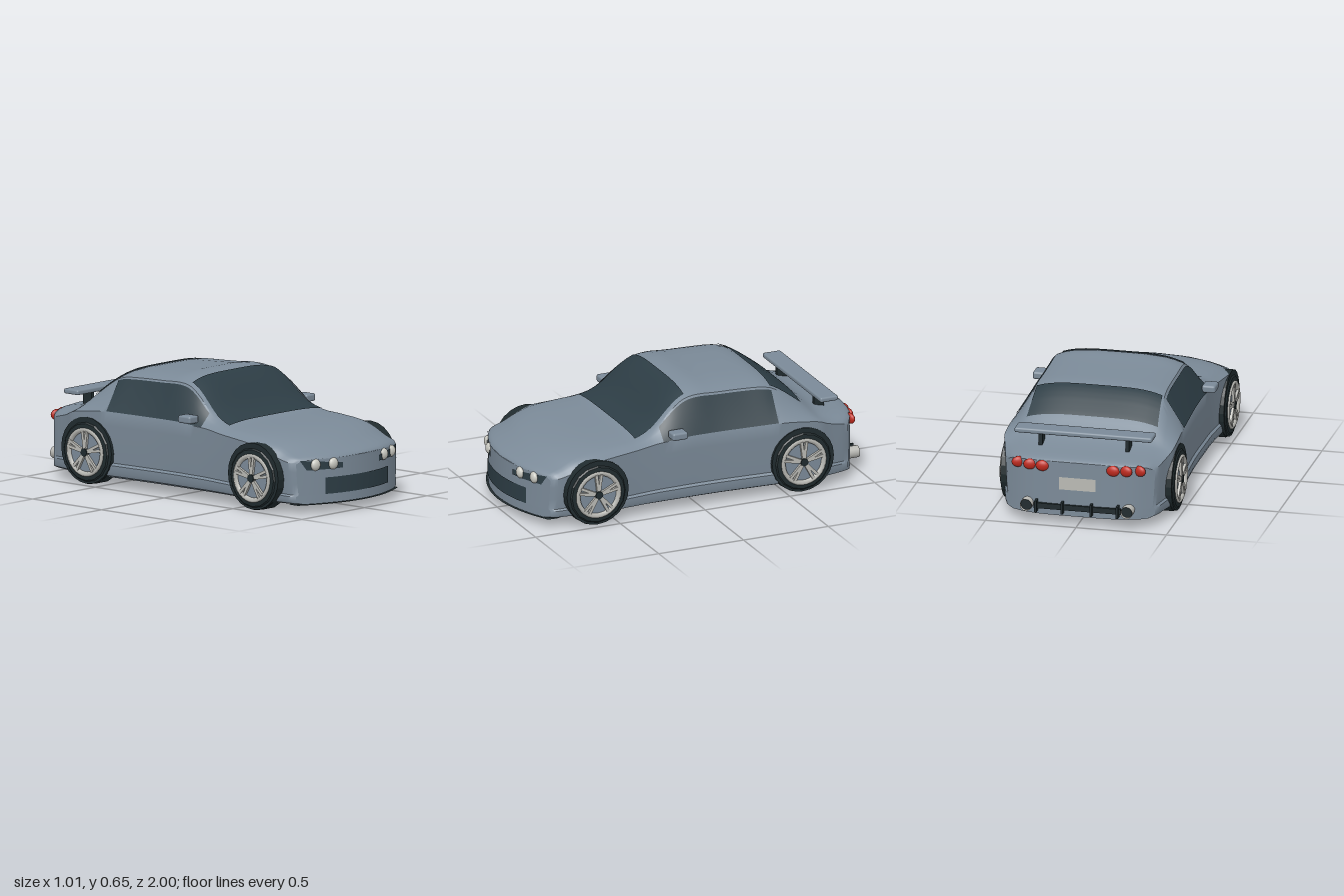
import * as THREE from 'three';
import { toCreasedNormals } from 'three/addons/utils/BufferGeometryUtils.js';
import { RoundedBoxGeometry } from 'three/addons/geometries/RoundedBoxGeometry.js';

const { lerp, smoothstep, clamp } = THREE.MathUtils;

// Body stations from nose to tail: z, half width, shoulder y, roof half width, roof edge y, top y
const STATIONS = [
  [0.985, 0.40, 0.27, 0.38, 0.285, 0.295],
  [0.965, 0.425, 0.28, 0.40, 0.30, 0.312],
  [0.88, 0.435, 0.30, 0.40, 0.325, 0.342],
  [0.78, 0.45, 0.33, 0.40, 0.355, 0.378],
  [0.62, 0.468, 0.36, 0.40, 0.385, 0.405],
  [0.45, 0.455, 0.375, 0.40, 0.40, 0.418],
  [0.35, 0.448, 0.385, 0.39, 0.41, 0.43],
  [0.25, 0.445, 0.40, 0.375, 0.45, 0.478],
  [0.14, 0.445, 0.405, 0.36, 0.545, 0.58],
  [0.06, 0.445, 0.41, 0.35, 0.595, 0.635],
  [-0.02, 0.445, 0.41, 0.35, 0.61, 0.655],
  [-0.13, 0.447, 0.41, 0.35, 0.605, 0.645],
  [-0.29, 0.455, 0.41, 0.35, 0.60, 0.635],
  [-0.42, 0.462, 0.41, 0.355, 0.59, 0.625],
  [-0.50, 0.466, 0.41, 0.36, 0.555, 0.59],
  [-0.61, 0.47, 0.40, 0.37, 0.475, 0.51],
  [-0.71, 0.468, 0.385, 0.385, 0.40, 0.43],
  [-0.80, 0.455, 0.365, 0.385, 0.375, 0.395],
  [-0.93, 0.43, 0.34, 0.385, 0.355, 0.372],
  [-0.965, 0.41, 0.32, 0.37, 0.34, 0.355],
];
const FLOOR = 0.05, NOSE = 0.985, TAIL = -0.965;

// Smooth the stations with a Catmull-Rom curve
const STEPS = 3;
const sections = [];
for (let i = 0; i < STATIONS.length - 1; i++) {
  const [p, q, r, s] = [-1, 0, 1, 2].map(k => STATIONS[clamp(i + k, 0, STATIONS.length - 1)]);
  for (let k = 0; k < STEPS; k++) {
    const t = k / STEPS;
    sections.push(q.map((v, c) => v + 0.5 * t * (r[c] - p[c] + t * (2 * p[c] - 5 * v + 4 * r[c] - s[c] + t * (3 * (v - r[c]) + s[c] - p[c])))));
  }
}
sections.push(STATIONS[STATIONS.length - 1]);

function sectionAt(z) {
  let i = 0;
  while (i < sections.length - 2 && sections[i + 1][0] > z) i++;
  const a = sections[i], b = sections[i + 1];
  const t = clamp((a[0] - z) / (a[0] - b[0]), 0, 1);
  return a.map((v, c) => lerp(v, b[c], t));
}

// Bow the nose and tail in plan
function bow(x, z) {
  return z - 0.13 * (x / 0.42) ** 2 * smoothstep(z, 0.55, NOSE)
    + 0.1 * (x / 0.43) ** 4 * (1 - smoothstep(z, TAIL, -0.65));
}
const roofY = ([, , , rw, re, top], x) => top - (top - re) * (Math.abs(x) / rw) ** 4;

// Half outline of a section, floor centre to roof centre
function halfOutline(sec) {
  const [, w, s, rw, re] = sec;
  const side = f => lerp(FLOOR, s, f);
  return [
    [0, FLOOR], [w * 0.5, FLOOR], [w - 0.04, FLOOR], [w - 0.008, side(0.04)],
    [w, side(0.1)], [w, side(0.2)], [w - 0.012, side(0.235)], [w - 0.006, side(0.5)],
    [w - 0.002, side(0.8)], [w, s],
    [lerp(w, rw, 0.33), lerp(s, re, 0.33)], [lerp(w, rw, 0.67), lerp(s, re, 0.67)],
    ...[1, 0.94, 0.85, 0.7, 0.4, 0].map(f => [rw * f, roofY(sec, rw * f)]),
  ];
}

// Surface from a rule fn(u, v) with u and v in 0..1
function surface(nu, nv, fn) {
  const pos = [], index = [];
  for (let i = 0; i <= nu; i++) for (let j = 0; j <= nv; j++) pos.push(...fn(i / nu, j / nv));
  for (let i = 0; i < nu; i++) for (let j = 0; j < nv; j++) {
    const a = i * (nv + 1) + j, b = a + nv + 1;
    index.push(a, b, b + 1, a, b + 1, a + 1);
  }
  const g = new THREE.BufferGeometry();
  g.setAttribute('position', new THREE.Float32BufferAttribute(pos, 3));
  g.setIndex(index);
  g.computeVertexNormals();
  return g;
}

export function createModel() {
  const car = new THREE.Group();
  car.name = 'sportsCoupe';
  const material = (name, color) => new THREE.MeshStandardMaterial({ name, color });
  const paint = material('slatePaint', 0x7b8a98);
  const glass = material('darkGlass', 0x2d3d45);
  const rubber = material('blackRubber', 0x202b2e);
  const alloy = material('lightAlloy', 0xb9b9b4);
  const lamp = material('lampWhite', 0xccccc4);
  const red = material('tailRed', 0xbf2a1e);
  glass.side = rubber.side = alloy.side = THREE.DoubleSide;
  rubber.flatShading = true;

  const add = (name, geo, mat, x = 0, y = 0, z = 0, parent = car) => {
    const m = new THREE.Mesh(geo, mat);
    m.name = name;
    m.position.set(x, y, z);
    parent.add(m);
    return m;
  };

  // Body shell with bowed end caps
  const rings = sections.map(sec => {
    const half = halfOutline(sec);
    return [...half, ...half.slice(0, -1).reverse().map(([x, y]) => [-x, y])];
  });
  const nu = rings.length - 1, nv = rings[0].length - 1;
  const shell = surface(nu, nv, (u, v) => {
    const i = Math.round(u * nu), [x, y] = rings[i][Math.round(v * nv)];
    return [x, y, bow(x, sections[i][0])];
  });
  add('bodyShell', toCreasedNormals(shell, 0.6), paint);
  for (const [name, sec, dir] of [['noseCap', sections[0], 1], ['tailCap', sections[nu], -1]]) {
    const rows = halfOutline(sec).slice(2), n = rows.length - 1;
    add(name, surface(16, n, (u, v) => {
      const [w, y] = rows[Math.round(v * n)], x = dir * (2 * u - 1) * w;
      return [x, y, bow(x, sec[0])];
    }), paint);
  }

  // Windscreen and rear window follow the roof
  const roofGlass = (name, z0, z1, inset) => add(name, surface(20, 16, (u, v) => {
    const z = lerp(z0, z1, v), sec = sectionAt(z), x = (2 * u - 1) * (sec[3] - inset);
    return [x, roofY(sec, x) + 0.007, z];
  }), glass);
  roofGlass('windscreen', 0.355, 0.05, 0.022);
  roofGlass('rearWindow', -0.45, -0.625, 0.01);

  // Plate on the nose or tail from four corners, bottom first
  const endPlate = (name, [a, b, c, d], mat, zEnd) => add(name, surface(10, 2, (u, v) => {
    const x = lerp(lerp(a[0], b[0], u), lerp(d[0], c[0], u), v);
    const y = lerp(lerp(a[1], b[1], u), lerp(d[1], c[1], u), v);
    return [x, y, bow(x, zEnd) + Math.sign(zEnd) * 0.005];
  }), mat);
  endPlate('grille', [[-0.25, 0.1], [0.25, 0.1], [0.25, 0.19], [-0.25, 0.19]], glass, NOSE);
  endPlate('numberPlate', [[0.1, 0.2], [-0.1, 0.2], [-0.1, 0.27], [0.1, 0.27]], alloy, TAIL);
  add('frontSplitter', surface(16, 1, (u, v) => {
    const x = lerp(-0.4, 0.4, u);
    return [x, 0.047, bow(x, NOSE) + lerp(0.012, -0.06, v)];
  }), rubber);

  const sphere = new THREE.SphereGeometry(1, 16, 10);
  const mirrorShape = new RoundedBoxGeometry(0.075, 0.042, 0.09, 2, 0.012);
  const pipe = new THREE.CylinderGeometry(0.033, 0.033, 0.1, 14, 1, true).rotateX(Math.PI / 2);
  for (const s of [1, -1]) {
    const side = s > 0 ? 'left' : 'right';
    add(side + 'Window', surface(24, 4, (u, v) => {
      const z = lerp(0.22, -0.45, u), [, w, sh, rw, re] = sectionAt(z), t = lerp(0.03, 0.95, v);
      return [s * (lerp(w, rw, t) + 0.006), lerp(sh, re, t), z];
    }), glass);
    add(side + 'Mirror', mirrorShape, paint, s * 0.467, 0.443, 0.145);

    // Paired headlamps on a dark panel
    endPlate(side + 'HeadlightPanel', [[s * 0.145, 0.235], [s * 0.35, 0.235], [s * 0.385, 0.29], [s * 0.145, 0.265]], glass, NOSE);
    for (const x of [0.2, 0.3]) {
      add(side + 'Headlamp', sphere, lamp, s * x, 0.262, bow(x, NOSE)).scale.set(0.032, 0.032, 0.02);
    }
    // Triple tail lamps
    for (const x of [0.195, 0.265, 0.335]) {
      const m = add(side + 'TailLamp', sphere, red, s * x, 0.325, bow(x, TAIL));
      m.scale.set(0.037, 0.03, 0.018);
      m.rotation.y = s * (x - 0.15) * 1.8;
    }
    add(side + 'Exhaust', pipe, alloy, s * 0.278, 0.105, -0.95);
    add(side + 'ExhaustInner', new THREE.CircleGeometry(0.032, 14).rotateY(Math.PI), rubber, s * 0.278, 0.105, -0.98);
    add(side + 'SpoilerPost', new THREE.BoxGeometry(0.02, 0.08, 0.06), rubber, s * 0.24, 0.425, -0.785);
  }

  // Rear wing and diffuser
  add('spoilerWing', new RoundedBoxGeometry(0.76, 0.028, 0.105, 2, 0.01), paint, 0, 0.47, -0.788);
  add('diffuserBar', new THREE.BoxGeometry(0.48, 0.03, 0.02), rubber, 0, 0.1, -0.968);
  for (const x of [-0.225, -0.08, 0.08, 0.225]) {
    add('diffuserFin', new THREE.BoxGeometry(0.012, 0.065, 0.05), rubber, x, 0.1, -0.972);
  }

  // Wheels, axle along x
  const ringAlongX = (pts, n) => new THREE.LatheGeometry(pts.map(p => new THREE.Vector2(...p)), n).rotateZ(-Math.PI / 2);
  const tyre = ringAlongX([[0, -0.05], [0.125, -0.062], [0.155, -0.062], [0.178, -0.04], [0.178, 0.04], [0.155, 0.062], [0.13, 0.064], [0.125, 0.05]], 16);
  const rim = ringAlongX([[0.13, 0.055], [0.132, 0.068], [0.122, 0.074], [0.108, 0.066], [0.106, 0.054]], 30);
  const arch = new THREE.CylinderGeometry(0.182, 0.182, 0.072, 24).rotateZ(Math.PI / 2);
  const backing = new THREE.CircleGeometry(0.128, 24).rotateY(Math.PI / 2);
  const hub = new THREE.CylinderGeometry(0.022, 0.024, 0.02, 10).rotateZ(-Math.PI / 2);
  const spoke = new THREE.BoxGeometry(0.014, 0.1, 0.016).translate(0, 0.066, 0);
  for (const s of [1, -1]) for (const [end, z] of [['front', 0.62], ['rear', -0.59]]) {
    const wheel = new THREE.Group();
    wheel.name = end + (s > 0 ? 'Left' : 'Right') + 'Wheel';
    wheel.position.set(s * 0.417, 0.178, z);
    if (s < 0) wheel.rotation.y = Math.PI;
    car.add(wheel);
    add('tyre', tyre, rubber, 0, 0, 0, wheel);
    add('wheelArch', arch, rubber, 0.019, 0.009, 0, wheel);
    add('wheelBacking', backing, paint, 0.058, 0, 0, wheel);
    add('rim', rim, alloy, 0, 0, 0, wheel);
    add('hub', hub, rubber, 0.068, 0, 0, wheel);
    for (let i = 0; i < 5; i++) for (const d of [-1, 1]) {
      const m = add('spoke', spoke, alloy, 0.066, 0, 0, wheel);
      m.rotation.x = i * Math.PI * 0.4 + d * 0.13;
    }
  }
  return car;
}
